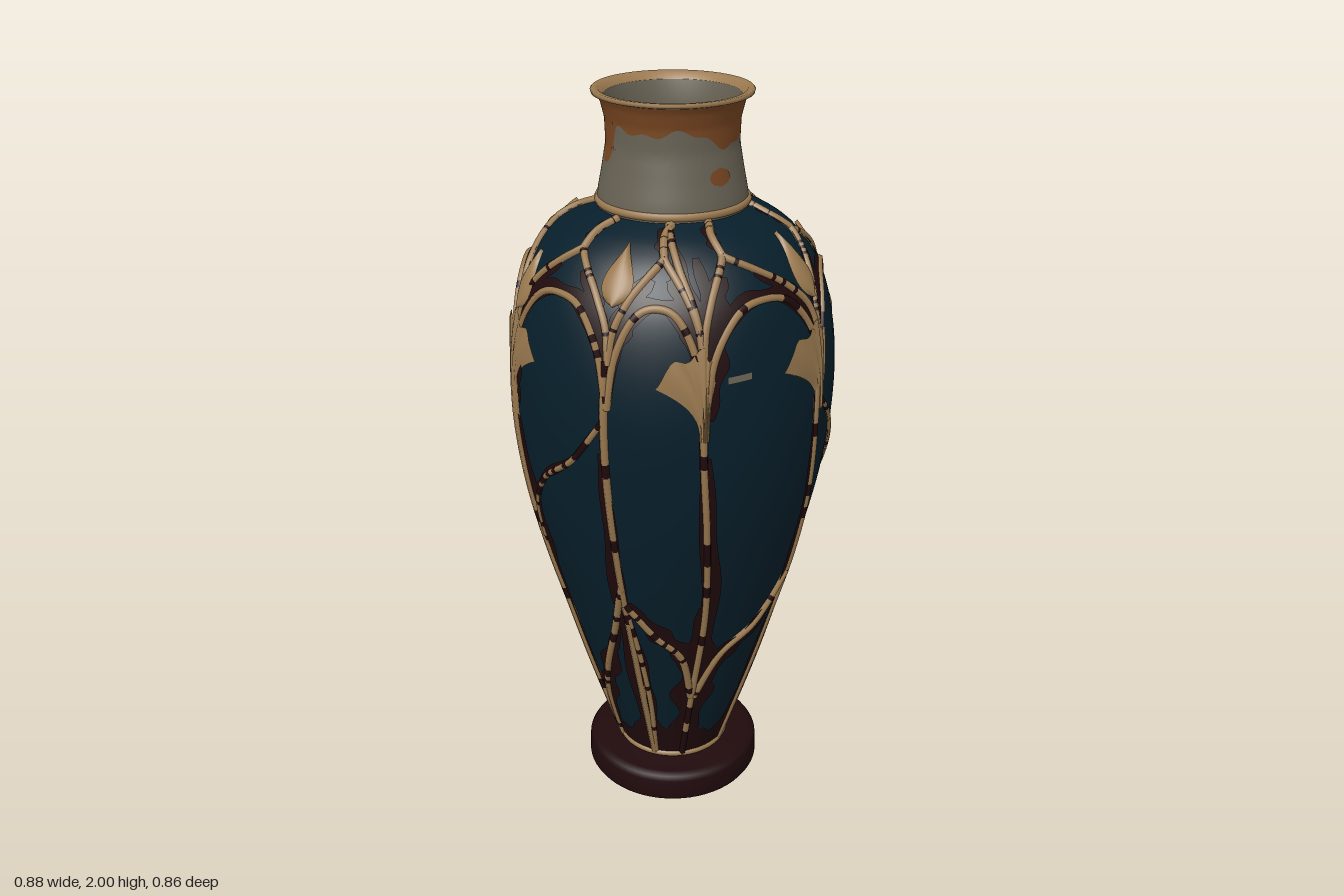
import * as THREE from 'three';

const mat = (name, color, side = THREE.FrontSide) => {
  const m = new THREE.MeshStandardMaterial({ color, side });
  m.name = name;
  return m;
};

const V2 = (x, y) => new THREE.Vector2(x, y);
const rad = THREE.MathUtils.degToRad;

// Body outline, foot to shoulder
const outline = new THREE.SplineCurve([
  V2(0.148, 0.09), V2(0.183, 0.2), V2(0.245, 0.4), V2(0.302, 0.6), V2(0.358, 0.8), V2(0.402, 1.0),
  V2(0.425, 1.2), V2(0.42, 1.38), V2(0.387, 1.53), V2(0.33, 1.625), V2(0.265, 1.68), V2(0.185, 1.715),
]).getPoints(90);

// Neck outline, shoulder to lip
const neckLine = [V2(0.192, 1.715), V2(0.188, 1.75), V2(0.178, 1.8), V2(0.166, 1.87), V2(0.168, 1.93), V2(0.178, 1.97), V2(0.188, 1.99)];

function radiusAt(y, line = outline) {
  for (let i = 1; i < line.length; i++) {
    if (y <= line[i].y) {
      const p = line[i - 1], q = line[i];
      return THREE.MathUtils.lerp(p.x, q.x, THREE.MathUtils.clamp((y - p.y) / (q.y - p.y), 0, 1));
    }
  }
  return line[line.length - 1].x;
}

// Point on the pot at angle a (0 = front), height y, raised by off
function onPot(a, y, off = 0, line = outline) {
  const r = radiusAt(y, line), e = 0.01;
  const slope = (radiusAt(y + e, line) - radiusAt(y - e, line)) / (2 * e);
  const n = 1 / Math.hypot(1, slope);
  const R = r + off * n;
  return new THREE.Vector3(R * Math.sin(a), y - slope * n * off, R * Math.cos(a));
}

// Surface patch from a rule f(u, v), u to the right and v upward
function grid(nu, nv, f) {
  const pos = [], index = [];
  for (let j = 0; j <= nv; j++) for (let i = 0; i <= nu; i++) pos.push(...f(i / nu, j / nv).toArray());
  for (let j = 0; j < nv; j++) for (let i = 0; i < nu; i++) {
    const a = j * (nu + 1) + i, b = a + 1, c = a + nu + 1, d = c + 1;
    index.push(a, b, d, a, d, c);
  }
  const g = new THREE.BufferGeometry();
  g.setAttribute('position', new THREE.Float32BufferAttribute(pos, 3));
  g.setIndex(index);
  g.computeVertexNormals();
  return g;
}

export function createModel() {
  const blue = mat('deep blue glaze', 0x071f2b);
  const gold = mat('aged gold', 0x9b7a50, THREE.DoubleSide);
  const red = mat('dark red', 0x200a0c, THREE.DoubleSide);
  const grey = mat('worn grey', 0x696355);
  const orange = mat('worn copper', 0x7a4722);

  const vase = new THREE.Group();
  vase.name = 'vase';
  const add = (name, geo, m, parent = vase) => {
    const mesh = new THREE.Mesh(geo, m);
    mesh.name = name;
    parent.add(mesh);
    return mesh;
  };

  add('body', new THREE.LatheGeometry(outline, 72), blue);

  // Neck in two colours that meet at a ragged edge
  const edge = (a) => 1.905 - 0.02 * Math.sin(2 * a) + 0.012 * Math.sin(5 * a + 2.5) + 0.006 * Math.sin(13 * a)
    - 0.075 * Math.exp(-((Math.sin(a - 1.5) / 0.22) ** 4));
  const neckPart = (lo, hi) => grid(120, 12, (u, v) => {
    const a = u * Math.PI * 2;
    return onPot(a, THREE.MathUtils.lerp(lo(a), hi(a), v), 0, neckLine);
  });
  add('lowerNeck', neckPart(() => 1.715, edge), grey);
  add('upperNeck', neckPart(edge, () => 1.99), orange);
  [0.28, Math.PI + 0.28].forEach((a0) => add('neckChip', grid(8, 6, (u, v) =>
    onPot(a0 + (u - 0.5) * 0.7 * Math.sqrt(v * (1 - v)), 1.79 + v * 0.045, 0.002, neckLine)), orange));

  // Lip, inner wall and inner floor
  add('lip', new THREE.LatheGeometry([V2(0.186, 1.985), V2(0.199, 1.989), V2(0.201, 1.996), V2(0.197, 2), V2(0.182, 1.998), V2(0.17, 1.982)], 64), gold);
  add('innerWall', new THREE.LatheGeometry([V2(0.17, 1.982), V2(0.157, 1.93), V2(0.154, 1.8), V2(0.156, 1.5)], 64), grey);
  const floor = add('innerFloor', new THREE.CircleGeometry(0.158, 48), orange);
  floor.rotation.x = -Math.PI / 2;
  floor.position.y = 1.51;

  // Collars at neck and foot
  [['neckCollar', 0.187, 1.728, 0.011], ['footCollar', 0.153, 0.1, 0.01]].forEach(([name, r, y, t]) => {
    const ring = add(name, new THREE.TorusGeometry(r, t, 8, 64), gold);
    ring.rotation.x = Math.PI / 2;
    ring.position.y = y;
  });

  // Foot underside and hollow ring stand, joined under the foot collar
  const underside = add('footUnderside', new THREE.CircleGeometry(0.15, 48), red);
  underside.rotation.x = Math.PI / 2;
  underside.position.y = 0.096;
  add('stand', new THREE.LatheGeometry([
    V2(0.148, 0.094), V2(0.16, 0.08), V2(0.2, 0.072), V2(0.21, 0.01), V2(0.222, 0.002), V2(0.243, 0.004), V2(0.25, 0.015),
    V2(0.248, 0.07), V2(0.24, 0.082), V2(0.22, 0.086), V2(0.15, 0.088), V2(0.148, 0.095)], 64), red);

  // Dark stain around the foot, climbing beside each stem
  const feet = [-14, 36, 86, 136, 166, 216, 266, 316, 346];
  const stainTop = (a) => {
    const d = Math.min(...feet.map((f) => Math.abs(a * 180 / Math.PI - f)));
    return 0.17 + 0.15 * Math.exp(-((d / 11) ** 2)) + 0.015 * Math.sin(10 * a) + 0.01 * Math.sin(23 * a);
  };
  add('footStain', grid(216, 10, (u, v) => {
    const a = u * Math.PI * 2;
    return onPot(a, THREE.MathUtils.lerp(0.095, stainTop(a), v), 0.003);
  }), red);

  // Small grey chip beside the front flower
  add('glazeChip', grid(4, 2, (u, v) => onPot(-0.11 + u * 0.15, 1.388 + v * 0.018 + u * 0.004, 0.006)), grey);

  let seed = 7;
  const rnd = () => (seed = (seed * 16807) % 2147483647) / 2147483647;
  const makePath = (pts) => new THREE.CatmullRomCurve3(pts.map(([a, y]) => new THREE.Vector3(rad(a), y, 0)));

  // Stain along a path, w wide, shifted sideways
  function stain(group, pts, w, shift = 0, off = 0.004) {
    const path = makePath(pts);
    add('vineStain', grid(4, 40, (u, v) => {
      const p = path.getPoint(v), t = path.getTangent(v), r = radiusAt(p.y);
      const l = Math.hypot(t.x * r, t.y), k = w * (0.25 + Math.sin(Math.PI * v) * (0.7 + 0.3 * Math.sin(v * 21)));
      const s = (u - 0.5) * 2 * k + shift;
      return onPot(p.x + (t.y / l) * s / r, Math.min(1.71, p.y - (t.x * r / l) * s * (p.y > 1.5 ? 0.5 : 1)), off);
    }), red, group);
  }

  // Vine through [degrees, height] points, with a dark edge and worn dark specks
  function vine(group, pts, r = 0.01, wear = 0.2) {
    const curve = new THREE.CatmullRomCurve3(makePath(pts).getPoints(30).map((p) => onPot(p.x, p.y, 0.002)));
    const n = 72, sides = 6, geo = new THREE.TubeGeometry(curve, n, r, sides);
    for (let i = 0; i < n; i += 2) geo.addGroup(i * sides * 6, 2 * sides * 6, rnd() < wear ? 1 : 0);
    add('vine', geo, [gold, red], group);
    stain(group, pts, r * 1.5, r * 0.4, 0.003);
  }

  // Fan flower with separate left and right spreads
  function fan(group, deg, left, right) {
    add('fanFlower', grid(20, 14, (u, v) => {
      const s = u * 2 - 1;
      const x = s * (0.012 + (s < 0 ? left : right) * v ** 2.6);
      const y = 1.25 + v * (0.22 - 0.075 * s * s + 0.012 * Math.cos(s * 9.4) * v);
      return onPot(rad(deg) + x / 0.41, y, 0.004 + 0.009 * (1 - s * s) + 0.002 * Math.cos(s * 16));
    }), gold, group);
  }

  function bud(group, deg, y0, y1) {
    add('bud', grid(8, 12, (u, v) => {
      const s = u * 2 - 1;
      return onPot(rad(deg) + s * 0.038 * Math.sin(Math.PI * v ** 0.75) / 0.34, THREE.MathUtils.lerp(y0, y1, v), 0.006 + 0.01 * (1 - s * s));
    }), gold, group);
  }

  // Half of the decoration, repeated on the opposite side
  function decoration(name) {
    const g = new THREE.Group();
    g.name = name;
    const stems = [-14, 36, 86, 134, 166];

    // Main stems, each [top, middle, foot] in degrees
    [[-14, -9, -14], [33, 42, 36], [86, 86, 86], [133, 134, 136]].forEach(([t, m, b], i) => {
      const pts = [[t, 1.44], [t, 1.2], [(t + m) / 2, 0.95], [m, 0.65], [(m + b) / 2, 0.35], [b, 0.1]];
      vine(g, pts, i === 2 ? 0.013 : 0.01, i === 0 ? 0.45 : 0.2);
      stain(g, pts.slice(1), 0.022, i % 2 ? 0.012 : -0.012);
      if (i % 2) vine(g, [[t + 5, 0.11], [m + 6, 0.3], [m + 4, 0.5], [m, 0.7]], 0.008, 0.3);
    });
    fan(g, -14, 0.1, 0.015);
    fan(g, 34, 0.12, 0.04);
    fan(g, 86, 0.105, 0.105);
    bud(g, 36, 1.53, 1.67);
    bud(g, 86, 1.48, 1.62);
    bud(g, 134, 1.56, 1.68);

    // Low arches around the first stem
    [[[-12, 0.36], [-19, 0.52], [-33, 0.61], [-46, 0.72]], [[-10, 0.36], [3, 0.52], [24, 0.6], [41, 0.72]]].forEach((p) => {
      vine(g, p, 0.011, 0.2);
      stain(g, p, 0.032, 0.014);
    });
    stain(g, [[-11, 0.15], [-11, 0.35], [-10, 0.52], [-10, 0.72]], 0.055);

    // Long crossing tendrils beside the third stem
    vine(g, [[35, 1.28], [48, 1.17], [62, 1.02], [76, 0.85], [85, 0.68]], 0.007, 0.35);
    vine(g, [[132, 1.28], [120, 1.16], [103, 1.06], [91, 0.93], [86, 0.78]], 0.008, 0.35);
    vine(g, [[87, 0.13], [99, 0.3], [113, 0.45], [125, 0.6], [134, 0.78]], 0.011, 0.3);
    stain(g, [[90, 0.16], [100, 0.32], [113, 0.46], [126, 0.62]], 0.035, 0.01);
    stain(g, [[88, 0.6], [89, 0.8], [90, 1.0], [88, 1.2]], 0.03, 0.014);
    stain(g, [[91, 1.24], [90, 1.36], [88, 1.44]], 0.022);

    // Shoulder net: a wide low arch between stems, and a forked twig down from the neck
    [-1, 57, 110, 152].forEach((node, i) => {
      const a = stems[i], b = stems[i + 1], m = (a + b) / 2, k = (b - a) / 2;
      const arch = [[a, 1.32], [a + k * 0.15, 1.45], [a + k * 0.5, 1.54], [m, 1.565], [b - k * 0.5, 1.54], [b - k * 0.15, 1.45], [b, 1.32]];
      vine(g, arch, 0.01, 0.15);
      stain(g, arch.slice(1, 6), 0.028, -0.02);
      vine(g, [[node + 3, 1.712], [node - 1, 1.69], [node, 1.66]], 0.011, 0.05);
      [a, b].forEach((end) => {
        const d = end - node;
        const twig = [[node, 1.66], [node + d * 0.35, 1.625], [node + d * 0.7, 1.575], [node + d * 0.93, 1.51], [end, 1.43]];
        vine(g, twig, 0.01, 0.12);
        stain(g, twig.slice(1), 0.03, d > 0 ? 0.016 : -0.016);
      });
    });
    // Extra twig and worn area above the first stem
    vine(g, [[-14, 1.45], [-16, 1.55], [-22, 1.65], [-27, 1.712]], 0.01, 0.25);
    stain(g, [[-12, 1.3], [-11, 1.42], [-10, 1.54], [-14, 1.66]], 0.034);
    vase.add(g);
    return g;
  }
  decoration('frontDecoration');
  decoration('backDecoration').rotation.y = Math.PI;

  return vase;
}
